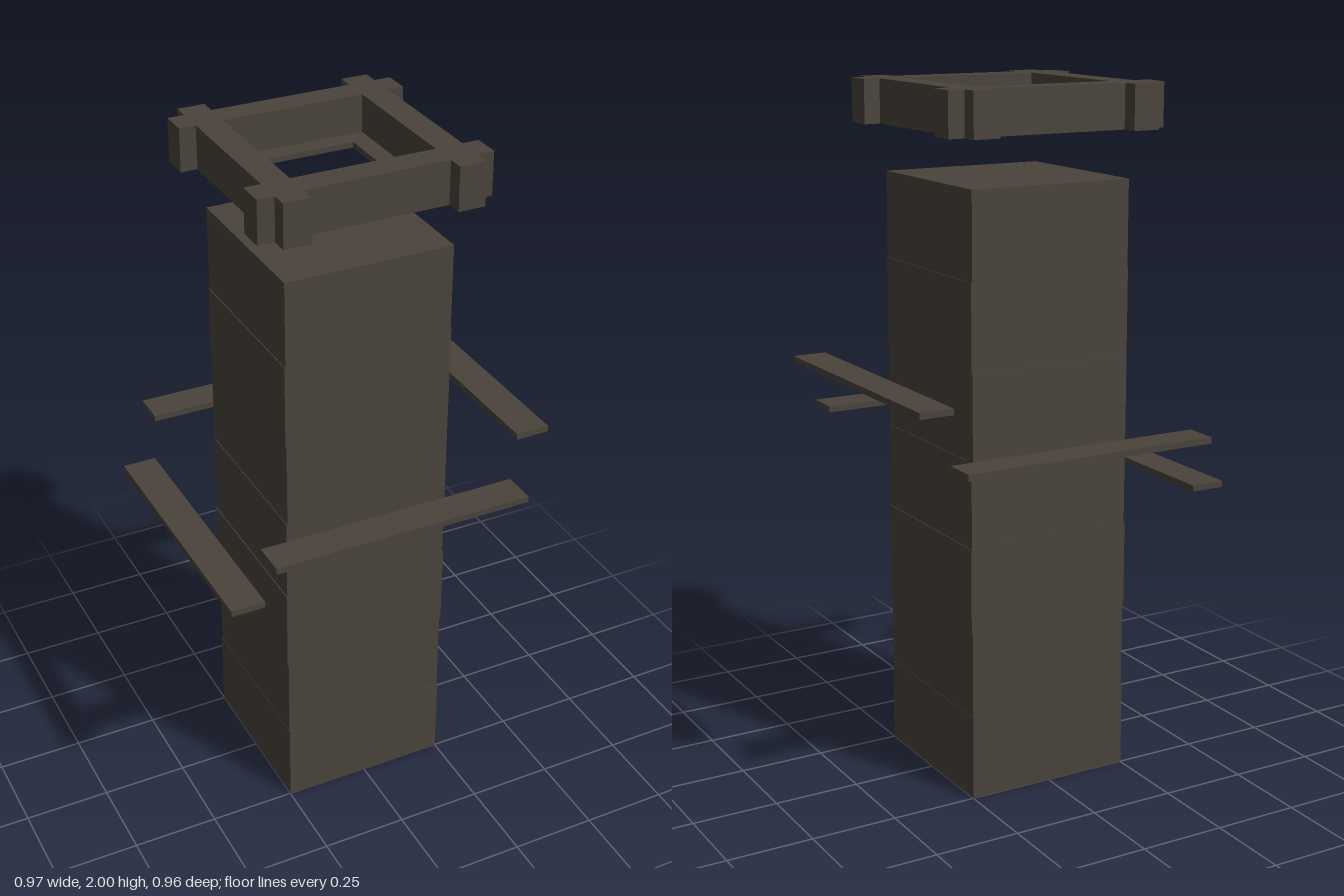
import * as THREE from 'three';

export function createModel() {
  const model = new THREE.Group();
  const darkStone = new THREE.MeshStandardMaterial({ color: 0x4a433c });

  const add = (name, geometry, x, y, z) => {
    const mesh = new THREE.Mesh(geometry, darkStone);
    mesh.name = name;
    mesh.position.set(x, y, z);
    model.add(mesh);
    return mesh;
  };
  const square = (Type, h) => new Type([
    new THREE.Vector2(-h, -h), new THREE.Vector2(h, -h),
    new THREE.Vector2(h, h), new THREE.Vector2(-h, h),
  ]);
  // Flat outline raised upward by the given height
  const slab = (shape, height) =>
    new THREE.ExtrudeGeometry(shape, { depth: height, bevelEnabled: false }).rotateX(-Math.PI / 2);

  // Shaft: seven stacked blocks of slightly uneven width [x, z]
  const blockHeight = 1.737 / 7;
  const blockSizes = [
    [0.5, 0.504], [0.498, 0.498], [0.505, 0.5], [0.5, 0.497],
    [0.496, 0.505], [0.499, 0.5], [0.494, 0.502],
  ];
  blockSizes.forEach(([w, d], i) => {
    add('shaftBlock' + (i + 1), new THREE.BoxGeometry(w, blockHeight, d), 0, blockHeight * (i + 0.5), 0);
  });

  // Floating planks around the shaft
  const plankThickness = 0.018;
  const sidePlank = new THREE.BoxGeometry(0.1, plankThickness, 0.8);
  const crossPlank = new THREE.BoxGeometry(0.77, plankThickness, 0.1);
  add('leftPlank', sidePlank, 0.435, 1.186, 0);
  add('rightPlank', sidePlank, -0.435, 0.866, 0);
  add('frontPlank', crossPlank, 0, 1.026, 0.428);
  add('backPlank', crossPlank, 0, 1.026, -0.428);

  // Floating crown: a frame of crossing beams whose ends stick out at the corners
  const inner = 0.207, outer = 0.286, tip = 0.334, bottom = 1.875;
  const corner = [[inner, -tip], [outer, -tip], [outer, -outer], [tip, -outer], [tip, -inner], [outer, -inner]];
  const outline = [];
  for (let k = 0; k < 4; k++) {
    // the edge between corners steps back to the frame face
    for (const [x, y] of [[inner, -outer], ...corner]) {
      outline.push(new THREE.Vector2(x, y).rotateAround(new THREE.Vector2(), k * Math.PI / 2));
    }
  }
  const frame = new THREE.Shape(outline);
  frame.holes.push(square(THREE.Path, inner));
  add('crownFrame', slab(frame, 0.125), 0, bottom, 0);

  // Thin ledge inside the bottom of the crown, open in the middle
  const ledge = square(THREE.Shape, inner);
  ledge.holes.push(square(THREE.Path, 0.153));
  add('crownLedge', slab(ledge, 0.016), 0, bottom, 0);

  return model;
}
